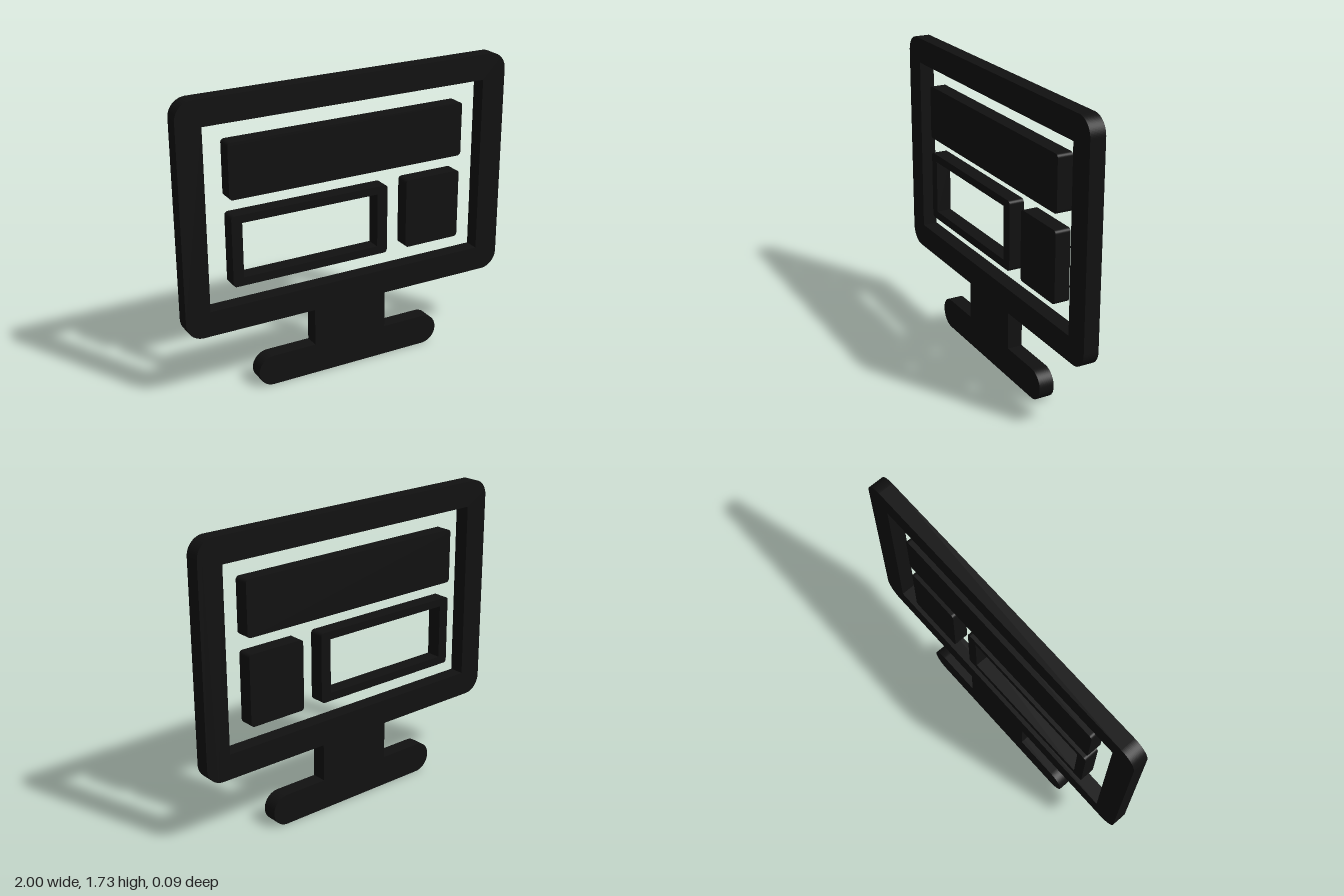
import * as THREE from 'three';

const DEPTH = 0.088;
const material = new THREE.MeshStandardMaterial({ color: 0x111111 });

// Trace a rectangle with rounded corners onto a Shape or Path
function trace(path, [x0, y0, x1, y1], r = 0) {
  if (r === 0) {
    path.moveTo(x0, y0).lineTo(x1, y0).lineTo(x1, y1).lineTo(x0, y1);
  } else {
    path.moveTo(x0 + r, y0);
    path.absarc(x1 - r, y0 + r, r, -Math.PI / 2, 0);
    path.absarc(x1 - r, y1 - r, r, 0, Math.PI / 2);
    path.absarc(x0 + r, y1 - r, r, Math.PI / 2, Math.PI);
    path.absarc(x0 + r, y0 + r, r, Math.PI, Math.PI * 1.5);
  }
  path.closePath();
  return path;
}

// Flat slab of constant depth, optionally with a rectangular opening
function slab(name, bounds, radius, opening) {
  const shape = trace(new THREE.Shape(), bounds, radius);
  if (opening) shape.holes.push(trace(new THREE.Path(), opening));
  const geometry = new THREE.ExtrudeGeometry(shape, {
    depth: DEPTH, bevelEnabled: false, curveSegments: 12,
  });
  geometry.translate(0, 0, -DEPTH / 2);
  const mesh = new THREE.Mesh(geometry, material);
  mesh.name = name;
  return mesh;
}

export function createModel() {
  const model = new THREE.Group();
  model.name = 'monitorIcon';

  // Monitor: rounded bezel and its stand
  model.add(
    slab('screenFrame', [-1, 0.4, 1, 1.727], 0.1, [-0.857, 0.545, 0.854, 1.58]),
    slab('standNeck', [-0.23, 0.18, 0.225, 0.4], 0),
    slab('standBase', [-0.583, 0, 0.578, 0.18], 0.0899),
  );

  // Page layout floating inside the screen
  const layout = new THREE.Group();
  layout.name = 'pageLayout';
  layout.add(
    slab('headerBlock', [-0.722, 1.156, 0.717, 1.471], 0.02),
    slab('contentFrame', [-0.717, 0.655, 0.235, 1.065], 0.02, [-0.655, 0.703, 0.171, 1.019]),
    slab('sideBlock', [0.359, 0.655, 0.711, 1.065], 0.02),
  );
  model.add(layout);
  return model;
}
